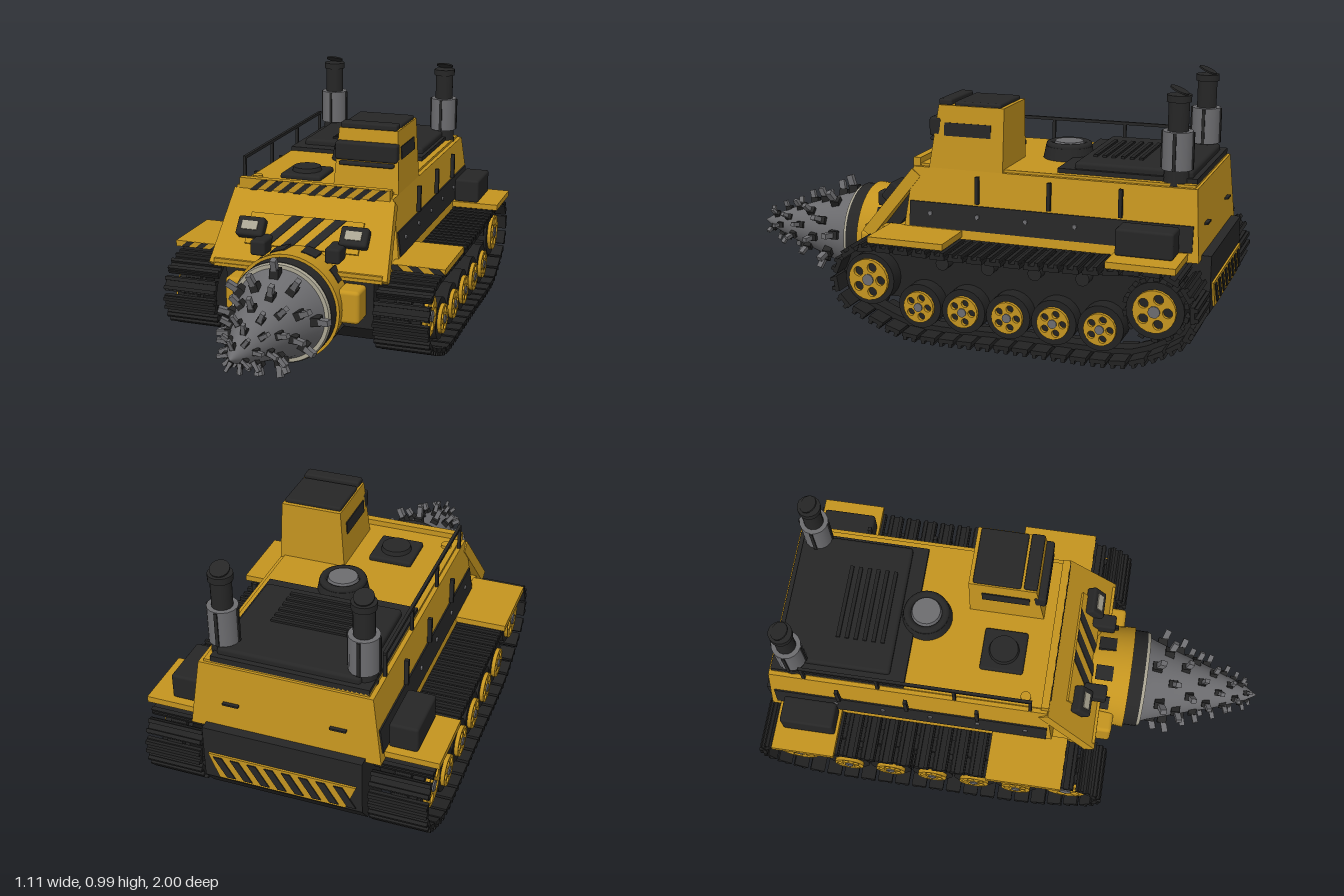
import * as THREE from 'three';
import { mergeGeometries } from 'three/addons/utils/BufferGeometryUtils.js';
import { RoundedBoxGeometry } from 'three/addons/geometries/RoundedBoxGeometry.js';

const material = (name, color) => Object.assign(new THREE.MeshStandardMaterial({ color }), { name });
const yellow = material('yellow paint', 0xc4941f);
const black = material('black paint', 0x262626);
const rubber = material('dark track metal', 0x222222);
const steel = material('steel', 0x6c6c6f);
const pale = material('pale metal', 0xaaa593);

function add(parent, name, geometry, mat, x = 0, y = 0, z = 0) {
  const mesh = new THREE.Mesh(geometry, mat);
  mesh.name = name;
  mesh.position.set(x, y, z);
  parent.add(mesh);
  return mesh;
}
function group(parent, name) {
  const g = new THREE.Group();
  g.name = name;
  parent.add(g);
  return g;
}
// Box given by its limits
const block = (parent, name, mat, x0, x1, y0, y1, z0, z1) => add(parent, name,
  new THREE.BoxGeometry(x1 - x0, y1 - y0, z1 - z0), mat, (x0 + x1) / 2, (y0 + y1) / 2, (z0 + z1) / 2);
const rounded = (parent, name, mat, x0, x1, y0, y1, z0, z1, r = 0.01) => add(parent, name,
  new RoundedBoxGeometry(x1 - x0, y1 - y0, z1 - z0, 2, r), mat, (x0 + x1) / 2, (y0 + y1) / 2, (z0 + z1) / 2);
// Box whose bottom and top rectangles [x0, x1, z0, z1] differ
function tapered(y0, y1, bottom, top) {
  const geo = new THREE.BoxGeometry(1, 1, 1), p = geo.attributes.position;
  for (let i = 0; i < p.count; i++) {
    const up = p.getY(i) > 0, r = up ? top : bottom;
    p.setXYZ(i, p.getX(i) < 0 ? r[0] : r[1], up ? y1 : y0, p.getZ(i) < 0 ? r[2] : r[3]);
  }
  geo.computeVertexNormals();
  return geo;
}
function extrude(points, depth) {
  const shape = new THREE.Shape(points.map(([x, y]) => new THREE.Vector2(x, y)));
  return new THREE.ExtrudeGeometry(shape, { depth, bevelEnabled: false });
}
// Row of slanted warning stripes facing +z
function stripes(parent, n, x0, x1, y0, y1, slant, z, mat = black) {
  const pitch = (x1 - x0 - slant) / (n - 0.5), w = pitch / 2;
  for (let i = 0; i < n; i++) {
    const x = x0 + i * pitch;
    add(parent, 'warningStripe', extrude([[x, y0], [x + w, y0], [x + w + slant, y1], [x + slant, y1]], 0.005), mat, 0, 0, z);
  }
}
const cylX = (r, w, n = 24) => new THREE.CylinderGeometry(r, r, w, n).rotateZ(Math.PI / 2);
const cylZ = (r0, r1, w, n = 48) => new THREE.CylinderGeometry(r1, r0, w, n).rotateX(Math.PI / 2);

// Yellow wheel face with round openings, facing +x
function hubGeometry(r) {
  const s = new THREE.Shape().absarc(0, 0, r, 0, Math.PI * 2);
  for (let i = 0; i < 5; i++) {
    const a = i / 5 * Math.PI * 2;
    s.holes.push(new THREE.Path().absarc(Math.cos(a) * r * 0.62, Math.sin(a) * r * 0.62, r * 0.23, 0, Math.PI * 2, true));
  }
  return new THREE.ExtrudeGeometry(s, { depth: 0.015, bevelEnabled: false, curveSegments: 10 }).rotateY(Math.PI / 2);
}
function wheel(parent, name, z, y, tyre, hub, teeth = 0) {
  const g = group(parent, name);
  g.position.set(0, y, z);
  add(g, 'tyre', cylX(tyre, 0.11), rubber, 0.44);
  add(g, 'hub', hubGeometry(hub), yellow, 0.495);
  add(g, 'hubCap', cylX(hub * 0.28, 0.03, 12), steel, 0.5);
  for (let i = 0; i < teeth; i++) {
    const a = i / teeth * Math.PI * 2;
    add(g, 'tooth', new THREE.BoxGeometry(0.05, 0.03, 0.022), rubber, 0.46, Math.cos(a) * tyre, Math.sin(a) * tyre).rotation.x = a;
  }
}

// Crawler unit on the +x side; the other is a half turn of the same rule
function buildTrack(side) {
  const g = new THREE.Group();
  g.name = side > 0 ? 'leftTrack' : 'rightTrack';
  const path = [];
  const arc = (z, y, r, a0, a1) => {
    for (let i = 0; i <= 6; i++) {
      const a = THREE.MathUtils.degToRad(a0 + (a1 - a0) * i / 6);
      path.push(new THREE.Vector3(0, y + r * Math.sin(a), z + r * Math.cos(a)));
    }
  };
  arc(0.27, 0.22, 0.125, 90, -75);
  for (const [z, y] of [[0.16, 0.042], [0.08, 0.026], [-0.3, 0.026], [-0.68, 0.026], [-0.77, 0.04]]) path.push(new THREE.Vector3(0, y, z));
  arc(-0.83, 0.225, 0.14, -115, -270);
  path.push(new THREE.Vector3(0, 0.347, -0.55), new THREE.Vector3(0, 0.342, -0.1));
  const curve = new THREE.CatmullRomCurve3(path, true, 'centripetal');
  const count = 42, parts = [];
  for (let i = 0; i < count; i++) {
    const p = curve.getPointAt(i / count), t = curve.getTangentAt(i / count);
    const m = new THREE.Matrix4().makeRotationX(Math.atan2(-t.y, t.z)).setPosition(0.427, p.y, p.z);
    // The loop runs clockwise, so its outer side is local -y along the bottom
    for (const [w, h, d, y, z] of [[0.215, 0.016, 0.06, 0, 0], [0.215, 0.014, 0.014, 0.014, 0.018], [0.215, 0.014, 0.014, 0.014, -0.018], [0.06, 0.022, 0.08, -0.016, 0]]) {
      const flip = t.z > 0 ? 1 : -1;
      const out = new THREE.Vector3(0, t.z, -t.y);
      const toCentre = new THREE.Vector3(0, p.y - 0.2, p.z - THREE.MathUtils.clamp(p.z, -0.8, 0.25));
      const s = out.dot(toCentre) < 0 ? -1 : 1;
      parts.push(new THREE.BoxGeometry(w, h, d).translate(0, y * s, z * flip).applyMatrix4(m));
    }
  }
  add(g, 'trackShoes', mergeGeometries(parts), rubber);
  wheel(g, 'idler', 0.27, 0.22, 0.1, 0.08);
  wheel(g, 'sprocket', -0.83, 0.225, 0.105, 0.078, 14);
  for (let i = 0; i < 5; i++) wheel(g, 'roadWheel', 0.065 - i * 0.175, 0.135, 0.085, 0.06);
  add(g, 'trackFrame', extrude([[-0.24, 0.14], [0.78, 0.14], [0.82, 0.32], [-0.27, 0.32]], 0.13).rotateY(Math.PI / 2), rubber, 0.3);
  for (let i = 0; i < 4; i++) add(g, 'returnRoller', cylX(0.026, 0.06, 12), black, 0.45, 0.305, -0.02 - i * 0.18);
  if (side < 0) g.rotation.y = Math.PI, g.children.forEach(c => c.isGroup ? c.position.z *= -1 : c.geometry.rotateY(0));
  return g;
}

export function createModel() {
  const model = new THREE.Group();
  model.name = 'drillingMachine';
  const left = buildTrack(1);
  model.add(left);
  // Mirror the crawler by reflecting its baked geometry across x
  const right = group(model, 'rightTrack');
  left.updateMatrixWorld(true);
  left.traverse(m => {
    if (!m.isMesh) return;
    let geo = m.geometry.clone().applyMatrix4(m.matrixWorld);
    if (geo.index) geo = geo.toNonIndexed();
    geo.scale(-1, 1, 1);
    for (const a of Object.values(geo.attributes)) for (let i = 0; i < a.count; i += 3) for (let k = 0; k < a.itemSize; k++) {
      const v = a.getComponent(i, k);
      a.setComponent(i, k, a.getComponent(i + 2, k));
      a.setComponent(i + 2, k, v);
    }
    add(right, m.name, geo, m.material);
  });

  // Hull
  const hull = group(model, 'hull');
  const belly = [[-0.28, 0.1], [0.93, 0.1], [0.985, 0.17], [0.985, 0.385], [-0.33, 0.385], [-0.33, 0.16]];
  add(hull, 'lowerHull', extrude(belly, 0.6).rotateY(Math.PI / 2), black, -0.3);
  add(hull, 'upperHull', tapered(0.37, 0.63, [-0.357, 0.357, -0.95, 0.19], [-0.322, 0.322, -0.93, 0.16]), yellow);
  add(hull, 'sideBand', tapered(0.405, 0.5, [-0.357, 0.357, -0.925, 0.165], [-0.345, 0.345, -0.925, 0.165]), black);
  block(hull, 'deck', yellow, -0.305, 0.305, 0.63, 0.64, -0.92, 0.14);
  for (const s of [-1, 1]) {
    for (const z of [-0.11, -0.39, -0.66]) block(hull, 'sideBar', black, s * 0.35 - 0.008, s * 0.35 + 0.008, 0.51, 0.615, z - 0.007, z + 0.007);
    for (let i = 0; i < 5; i++) add(hull, 'bolt', cylX(0.009, 0.012, 8), steel, s * 0.35, 0.46, 0.08 - i * 0.19);
    block(hull, 'rearHandle', black, s * 0.2 - 0.03, s * 0.2 + 0.03, 0.48, 0.487, -0.955, -0.94);
  }
  const rear = group(hull, 'rearWarningPlate');
  rear.position.z = -0.985;
  rear.rotation.y = Math.PI;
  add(rear, 'plate', extrude([[-0.24, 0.18], [0.24, 0.18], [0.28, 0.28], [-0.28, 0.28]], 0.008), yellow);
  stripes(rear, 8, -0.21, 0.23, 0.19, 0.27, -0.05, 0.007);

  // Sloped front plate with lamps
  const prow = group(model, 'frontPlate');
  prow.position.set(0, 0.495, 0.2625);
  prow.rotation.x = -0.662;
  add(prow, 'slab', extrude([[-0.36, -0.16], [0.36, -0.16], [0.33, 0.16], [-0.33, 0.16]], 0.045), yellow, 0, 0, -0.045);
  block(prow, 'warningPanel', yellow, -0.23, 0.23, -0.07, 0.06, 0, 0.009);
  stripes(prow, 3, -0.17, 0.16, -0.07, 0.06, 0.11, 0.007);
  for (const s of [-1, 1]) {
    rounded(prow, 'lampFrame', black, s * 0.21 - 0.055, s * 0.21 + 0.055, -0.05, 0.03, 0, 0.045);
    block(prow, 'lamp', pale, s * 0.21 - 0.032, s * 0.21 + 0.032, -0.027, 0.008, 0.042, 0.049);
    block(prow, 'strut', black, s * 0.27 - 0.02, s * 0.27 + 0.02, -0.12, 0.1, -0.09, -0.04);
  }
  block(model, 'frontLip', yellow, -0.34, 0.34, 0.355, 0.385, 0.18, 0.36);
  block(model, 'deckWarningBoard', yellow, -0.31, 0.31, 0.61, 0.662, 0.135, 0.165);
  stripes(model, 9, -0.27, 0.3, 0.613, 0.66, 0.055, 0.163);

  // Fenders and rear lockers
  for (const s of [-1, 1]) {
    for (const [z0, z1] of [[-0.05, 0.25], [-0.91, -0.66]]) {
      const x = [s * 0.34, s * 0.553].sort((a, b) => a - b);
      block(model, 'fender', yellow, x[0], x[1], 0.378, 0.402, z0, z1);
    }
    stripes(model, 3, s * 0.44 - 0.09, s * 0.44 + 0.09, 0.379, 0.401, s * -0.025, 0.247);
    rounded(model, 'locker', black, s * 0.412 - 0.053, s * 0.412 + 0.053, 0.4, 0.5, -0.88, -0.67);
  }

  // Cab
  const cab = group(model, 'cab');
  add(cab, 'cabBody', tapered(0.63, 0.87, [0.057, 0.322, -0.2, 0.095], [0.07, 0.307, -0.2, 0.06]), yellow);
  rounded(cab, 'roof', black, 0.075, 0.302, 0.865, 0.885, -0.185, 0.0, 0.008);
  rounded(cab, 'roofLamps', black, 0.075, 0.302, 0.868, 0.893, 0.01, 0.062, 0.008);
  rounded(cab, 'visor', black, 0.064, 0.314, 0.75, 0.822, 0.05, 0.098);
  rounded(cab, 'visorLip', black, 0.08, 0.3, 0.73, 0.745, 0.06, 0.1, 0.006);
  block(cab, 'leftWindow', black, 0.309, 0.316, 0.755, 0.805, -0.15, 0.035).rotation.z = 0.0625;
  block(cab, 'rightWindow', black, 0.061, 0.068, 0.755, 0.805, -0.15, 0.035).rotation.z = -0.054;

  // Engine deck, cooling vent and hatch
  const engine = group(model, 'engineDeck');
  block(engine, 'deckPlate', black, -0.305, 0.28, 0.635, 0.657, -0.92, -0.4);
  rounded(engine, 'engineCover', black, -0.265, 0.265, 0.64, 0.682, -0.9, -0.46, 0.012);
  for (let i = 0; i < 6; i++) block(engine, 'slat', rubber, -0.15, 0.15, 0.68, 0.69, -0.69 + i * 0.035, -0.675 + i * 0.035);
  add(engine, 'ventBase', new THREE.CylinderGeometry(0.09, 0.1, 0.05, 32), black, 0, 0.662, -0.36);
  add(engine, 'ventRing', new THREE.TorusGeometry(0.075, 0.015, 8, 32).rotateX(Math.PI / 2), black, 0, 0.69, -0.36);
  add(engine, 'ventCap', new THREE.CylinderGeometry(0.055, 0.06, 0.02, 24), steel, 0, 0.696, -0.36);
  rounded(model, 'hatch', black, -0.185, -0.015, 0.635, 0.66, -0.125, 0.045, 0.01);
  add(model, 'hatchLid', new THREE.CylinderGeometry(0.055, 0.06, 0.02, 24), black, -0.1, 0.667, -0.04);
  add(model, 'fillerCap', new THREE.CylinderGeometry(0.02, 0.02, 0.015, 16), yellow, -0.27, 0.645, 0.07);

  // Exhaust stacks
  for (const s of [-1, 1]) {
    const stack = group(model, 'exhaust');
    stack.position.set(s * 0.258, 0, -0.84);
    add(stack, 'foot', new THREE.CylinderGeometry(0.045, 0.05, 0.06, 16), black, 0, 0.66);
    add(stack, 'heatShield', new THREE.CylinderGeometry(0.056, 0.056, 0.14, 16), steel, 0, 0.755);
    for (let i = 0; i < 4; i++) add(stack, 'shieldStrap', new THREE.BoxGeometry(0.012, 0.135, 0.012), black, Math.sin(i * Math.PI / 2) * 0.054, 0.755, Math.cos(i * Math.PI / 2) * 0.054);
    add(stack, 'pipe', new THREE.CylinderGeometry(0.038, 0.038, 0.14, 16), black, 0, 0.88);
    add(stack, 'collar', new THREE.CylinderGeometry(0.045, 0.045, 0.025, 16), black, 0, 0.942);
    add(stack, 'rainFlap', new THREE.CylinderGeometry(0.036, 0.036, 0.006, 16), black, 0, 0.97, 0).rotation.x = -0.42;
  }

  // Handrail along the right edge
  const rail = group(model, 'handrail');
  block(rail, 'bar', black, -0.321, -0.309, 0.72, 0.732, -0.8, 0.1);
  for (const z of [0.094, -0.2, -0.5, -0.79]) block(rail, 'post', black, -0.321, -0.309, 0.62, 0.725, z - 0.006, z + 0.006);

  // Drill head, built along +z
  const drill = group(model, 'drill');
  drill.position.y = 0.26;
  add(drill, 'collar', cylZ(0.195, 0.21, 0.16), yellow, 0, 0, 0.385);
  add(drill, 'bearing', cylZ(0.198, 0.198, 0.06), black, 0, 0, 0.49);
  add(drill, 'facePlate', cylZ(0.197, 0.192, 0.015), pale, 0, 0, 0.525);
  for (let i = 0; i < 10; i++) {
    const a = (i + 0.5) / 10 * Math.PI * 2;
    add(drill, 'collarPad', new THREE.BoxGeometry(0.06, 0.012, 0.07), black, Math.sin(a) * 0.2, Math.cos(a) * 0.2, 0.36).rotation.z = -a;
  }
  for (const s of [-1, 1]) {
    rounded(drill, 'sideBracket', yellow, s * 0.225 - 0.045, s * 0.225 + 0.045, -0.055, 0.075, 0.3, 0.42, 0.015);
    rounded(drill, 'bracketArm', black, s * 0.15 - 0.03, s * 0.15 + 0.03, 0.16, 0.22, 0.26, 0.38, 0.01);
  }
  const profile = [[0.178, 0.53], [0.165, 0.56], [0.118, 0.7], [0.07, 0.85], [0.03, 0.95], [0, 1]];
  const cone = profile.map(([r, z]) => new THREE.Vector2(r, z));
  add(drill, 'cone', new THREE.LatheGeometry(cone, 48).rotateX(Math.PI / 2), steel);
  // Teeth wind around the cone and shrink toward its tip
  for (let i = 0; i < 44; i++) {
    const t = i / 43, z = 0.57 + 0.39 * t, r = 0.162 * (1 - t) + 0.022 * t, k = 1 - 0.45 * t;
    const tooth = group(drill, 'tooth');
    tooth.rotation.z = i * 2.4;
    add(tooth, 'holder', new THREE.BoxGeometry(0.034 * k, 0.04 * k, 0.04 * k), black, 0, r + 0.008, z);
    add(tooth, 'pick', new THREE.BoxGeometry(0.022 * k, 0.07 * k, 0.026 * k), steel, 0, r + 0.034 * k, z + 0.01).rotation.x = 0.3;
  }
  return model;
}
